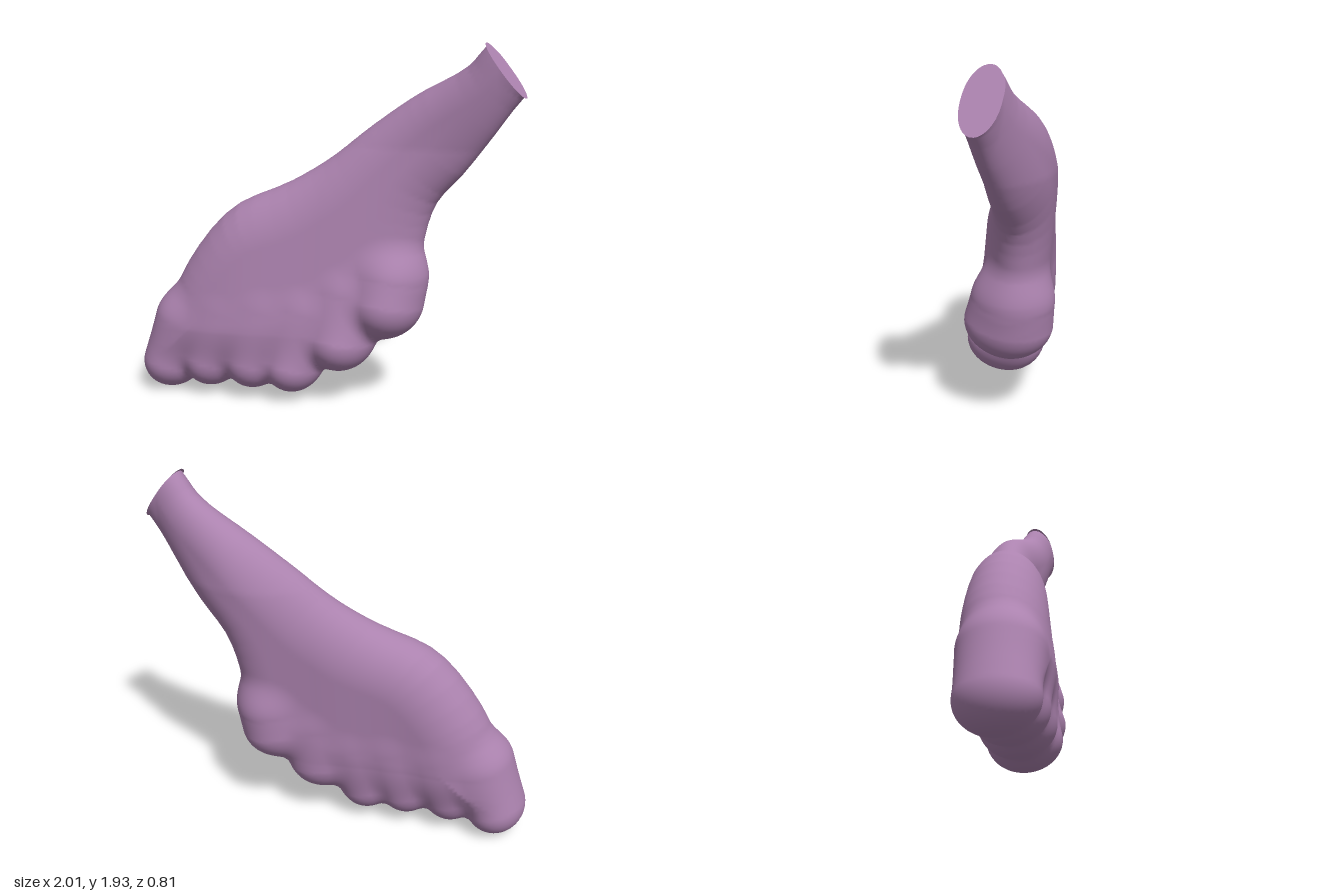
import * as THREE from 'three';

// Tapered toes: tip [x, y, z, radius], root [x, y, z, radius]
const TOES = [
  [[-0.84, 0.165, 0.215, 0.16], [-0.77, 0.42, 0.195, 0.15]],
  [[-0.6, 0.19, 0.175, 0.15], [-0.52, 0.48, 0.125, 0.125]],
  [[-0.36, 0.2, 0.12, 0.15], [-0.29, 0.5, 0.07, 0.125]],
  [[-0.14, 0.2, 0.07, 0.152], [-0.08, 0.5, 0.015, 0.125]],
  [[0.105, 0.355, -0.02, 0.17], [0.13, 0.6, -0.065, 0.13]],
  [[0.325, 0.565, -0.125, 0.19], [0.34, 0.69, -0.15, 0.175]],
];

// Outline of the flat body and leg, seen from the front
const OUTLINE = new THREE.CatmullRomCurve3([
  [-0.85, 0.4], [-0.83, 0.53], [-0.74, 0.75], [-0.5, 1.05], [-0.2, 1.2], [0, 1.33], [0.2, 1.5],
  [0.43, 1.67], [0.7, 1.82], [0.795, 1.92], [0.96, 2.05], [1.17, 1.82], [1, 1.68], [0.85, 1.48],
  [0.7, 1.28], [0.55, 1.1], [0.49, 0.87], [0.48, 0.65], [0.3, 0.42], [0.1, 0.27],
  [-0.15, 0.2], [-0.6, 0.18], [-0.82, 0.22],
].map(([x, y]) => new THREE.Vector3(x, y, 0)), true)
  .getPoints(80).slice(0, -1).map((p) => [p.x, p.y]);

// Body profile from -x to +x: mid depth, half thickness, width of the rounded edge
const PROFILE = new THREE.CatmullRomCurve3([
  [0.135, 0.22, 0.25], [0.07, 0.21, 0.27], [-0.075, 0.182, 0.28], [-0.2, 0.15, 0.21], [-0.178, 0.093, 0.16],
].map((v) => new THREE.Vector3(...v)), false, 'catmullrom');

// Cut plane at the top of the leg
const CUT_POINT = new THREE.Vector3(0.9, 1.805, -0.22);
const CUT_NORMAL = new THREE.Vector3(0.78, 0.625, 0).normalize();

const clamp = THREE.MathUtils.clamp;
const blend = (a, b, k) => {
  const h = Math.max(k - Math.abs(a - b), 0);
  return Math.min(a, b) - (h * h) / (4 * k);
};

// Pillow: full thickness inside, elliptical towards the outline
function bodyDistance(x, y, z) {
  let best = Infinity, inside = false;
  for (let i = 0; i < OUTLINE.length; i++) {
    const [ax, ay] = OUTLINE[i], [bx, by] = OUTLINE[(i + 1) % OUTLINE.length];
    const ex = bx - ax, ey = by - ay;
    const t = clamp(((x - ax) * ex + (y - ay) * ey) / (ex * ex + ey * ey), 0, 1);
    best = Math.min(best, (x - ax - t * ex) ** 2 + (y - ay - t * ey) ** 2);
    if ((ay > y) !== (by > y) && x < ax + (ex * (y - ay)) / ey) inside = !inside;
  }
  const { x: mid, y: half, z: edge } = PROFILE.getPoint(clamp((x + 0.85) / 1.75, 0, 1));
  const tilt = clamp((0.9 - y) * 0.1, -0.05, 0.05);
  const across = Math.max(0, edge + (inside ? -1 : 1) * Math.sqrt(best));
  return Math.hypot((across * half) / edge, z - mid - tilt) - half;
}

function toeDistance([a, b], x, y, z) {
  const s = 1 / 1.22; // toes are deeper than wide
  const ex = b[0] - a[0], ey = b[1] - a[1], ez = (b[2] - a[2]) * s;
  const px = x - a[0], py = y - a[1], pz = (z - a[2]) * s;
  const t = clamp((px * ex + py * ey + pz * ez) / (ex * ex + ey * ey + ez * ez), 0, 1);
  return Math.hypot(px - t * ex, py - t * ey, pz - t * ez) - a[3] - t * (b[3] - a[3]);
}

function distance(x, y, z) {
  let toes = Infinity;
  for (const toe of TOES) {
    const d = toeDistance(toe, x, y, z);
    toes = toes === Infinity ? d : blend(toes, d, 0.055);
  }
  return blend(bodyDistance(x, y, z), toes, 0.1);
}

function gradient(p) {
  const e = 0.008;
  return new THREE.Vector3(
    distance(p.x + e, p.y, p.z) - distance(p.x - e, p.y, p.z),
    distance(p.x, p.y + e, p.z) - distance(p.x, p.y - e, p.z),
    distance(p.x, p.y, p.z + e) - distance(p.x, p.y, p.z - e),
  ).divideScalar(2 * e);
}

// Skin the blended form with a regular net of quads
function skinGeometry() {
  const cell = 0.021, min = [-1.08, -0.08, -0.5];
  const n = [112, 108, 48], step = [1, n[0], n[0] * n[1]];
  const field = new Float32Array(n[0] * n[1] * n[2]);
  const at = (i, j, k) => i + j * step[1] + k * step[2];
  for (let k = 0; k < n[2]; k++)
    for (let j = 0; j < n[1]; j++)
      for (let i = 0; i < n[0]; i++)
        field[at(i, j, k)] = distance(min[0] + i * cell, min[1] + j * cell, min[2] + k * cell);

  // One point per crossed cell, pulled onto the surface
  const points = new Map();
  for (let k = 0; k < n[2] - 1; k++)
    for (let j = 0; j < n[1] - 1; j++)
      for (let i = 0; i < n[0] - 1; i++) {
        const base = at(i, j, k), sum = new THREE.Vector3();
        let count = 0;
        for (let c = 0; c < 8; c++)
          for (let a = 0; a < 3; a++) {
            if (c & (1 << a)) continue;
            const o = [c & 1, (c >> 1) & 1, (c >> 2) & 1];
            const id = base + o[0] + o[1] * step[1] + o[2] * step[2];
            const f = field[id], g = field[id + step[a]];
            if ((f < 0) === (g < 0)) continue;
            o[a] += f / (f - g);
            sum.add(new THREE.Vector3(...o));
            count++;
          }
        if (!count) continue;
        const p = sum.divideScalar(count).add(new THREE.Vector3(i, j, k))
          .multiplyScalar(cell).add(new THREE.Vector3(...min));
        for (let r = 0; r < 2; r++) {
          const g = gradient(p);
          p.addScaledVector(g, -distance(p.x, p.y, p.z) / Math.max(g.lengthSq(), 0.3));
        }
        const normal = gradient(p).normalize();
        // Flatten the end of the leg onto the cut plane
        const over = p.clone().sub(CUT_POINT).dot(CUT_NORMAL);
        if (over > 0) p.addScaledVector(CUT_NORMAL, -over);
        points.set(base, { p, normal, cut: over > 0 });
      }

  const positions = [], normals = [];
  const addTriangle = (...tri) => {
    const flat = tri.every((v) => v.cut);
    for (const v of tri) {
      positions.push(...v.p.toArray());
      normals.push(...(flat ? CUT_NORMAL : v.normal).toArray());
    }
  };
  for (let k = 1; k < n[2] - 1; k++)
    for (let j = 1; j < n[1] - 1; j++)
      for (let i = 1; i < n[0] - 1; i++)
        for (let a = 0; a < 3; a++) {
          const id = at(i, j, k), inside = field[id] < 0;
          if (inside === field[id + step[a]] < 0) continue;
          const b = step[(a + 1) % 3], c = step[(a + 2) % 3];
          const q = [id, id - b, id - b - c, id - c].map((m) => points.get(m));
          if (!inside) q.reverse();
          addTriangle(q[0], q[1], q[2]);
          addTriangle(q[0], q[2], q[3]);
        }
  const geometry = new THREE.BufferGeometry();
  geometry.setAttribute('position', new THREE.Float32BufferAttribute(positions, 3));
  geometry.setAttribute('normal', new THREE.Float32BufferAttribute(normals, 3));
  return geometry;
}

export function createModel() {
  const group = new THREE.Group();
  group.name = 'paddleFoot';
  const skin = new THREE.MeshStandardMaterial({ color: 0xab82ae });
  skin.name = 'mauve skin';
  const foot = new THREE.Mesh(skinGeometry(), skin);
  foot.name = 'footWithToes';
  group.add(foot);
  return group;
}
